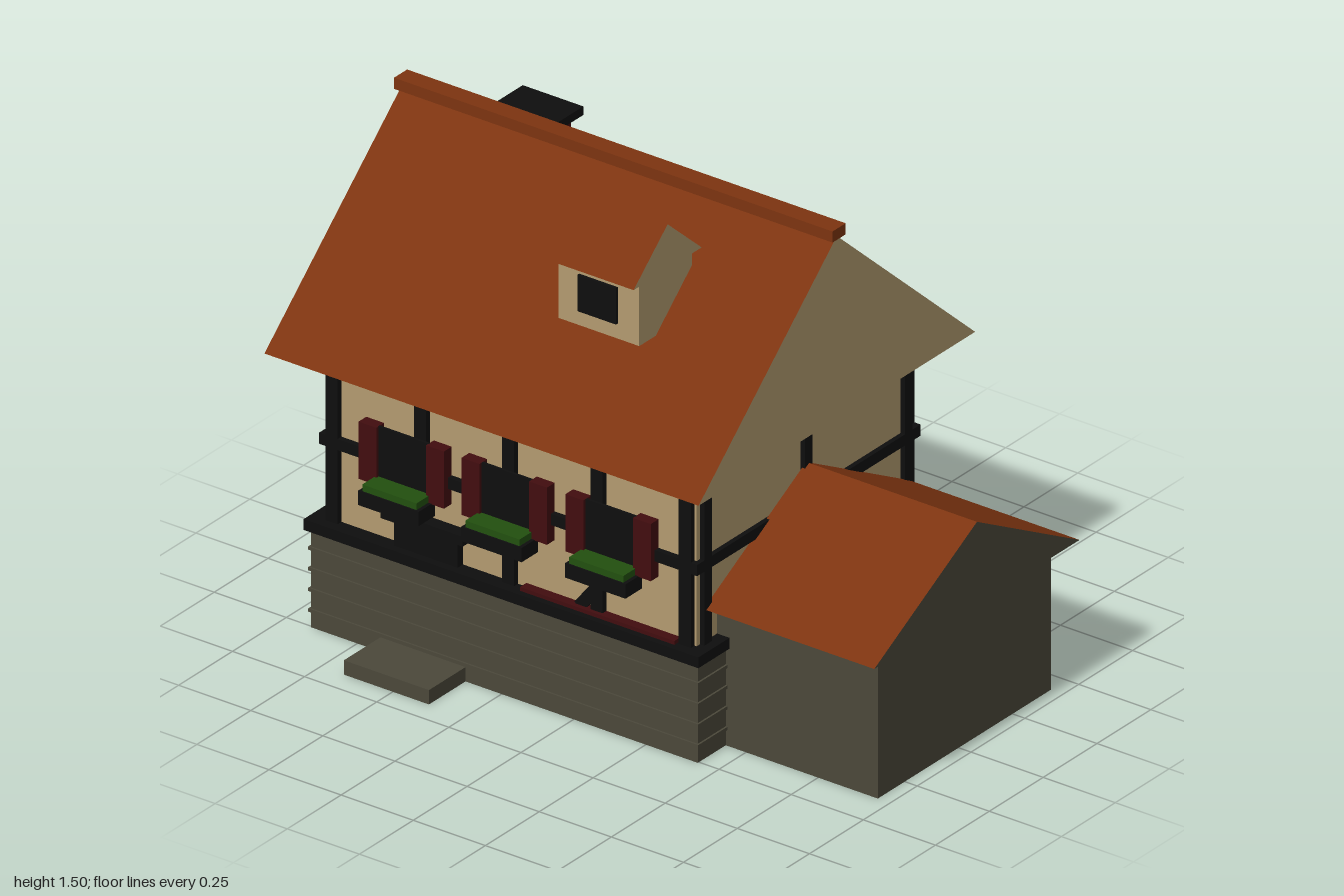
import * as THREE from 'three';

const mat = (name, color) => {
  const m = new THREE.MeshStandardMaterial({ color });
  m.name = name;
  return m;
};

export function createModel() {
  const plaster = mat('plaster', 0xb39b70);
  const tile = mat('roof tile', 0x7d3410);
  const stone = mat('stone', 0x4b483a);
  const timber = mat('dark timber', 0x0e0e0e);
  const red = mat('dark red', 0x420d0f);
  const green = mat('plant green', 0x22500f);

  const house = new THREE.Group();
  house.name = 'house';

  // Box given by its minimum and maximum on each axis
  const box = (name, material, [x0, x1], [y0, y1], [z0, z1], parent = house) => {
    const mesh = new THREE.Mesh(new THREE.BoxGeometry(x1 - x0, y1 - y0, z1 - z0), material);
    mesh.position.set((x0 + x1) / 2, (y0 + y1) / 2, (z0 + z1) / 2);
    mesh.name = name;
    parent.add(mesh);
    return mesh;
  };

  // Gabled prism, ridge along x: slopes in tile, gables and underside in the second material
  const gableRoof = (name, endMaterial, [x0, x1], [y0, y1], [z0, z1]) => {
    const zm = (z0 + z1) / 2;
    const A = [x0, y0, z1], B = [x1, y0, z1], C = [x1, y1, zm], D = [x0, y1, zm];
    const E = [x0, y0, z0], F = [x1, y0, z0];
    const corners = [
      A, B, C, A, C, D, F, E, D, F, D, C, // slopes
      B, F, C, E, A, D, E, F, B, E, B, A, // gables, underside
    ];
    const geo = new THREE.BufferGeometry();
    geo.setAttribute('position', new THREE.Float32BufferAttribute(corners.flat(), 3));
    geo.computeVertexNormals();
    geo.addGroup(0, 12, 0);
    geo.addGroup(12, 12, 1);
    const mesh = new THREE.Mesh(geo, [tile, endMaterial]);
    mesh.name = name;
    house.add(mesh);
  };

  // Stone base with projecting courses and a timber sill
  box('stoneBase', stone, [-0.91, 0.43], [0, 0.31], [-0.565, 0.505]);
  for (const y of [0.055, 0.12, 0.185, 0.25])
    box('stoneCourse', stone, [-0.916, 0.436], [y - 0.005, y + 0.005], [-0.571, 0.511]);
  box('sill', timber, [-0.925, 0.443], [0.308, 0.342], [-0.58, 0.52]);
  box('doorStep', stone, [-0.67, -0.375], [0, 0.045], [0.5, 0.675]);

  // Plaster walls
  box('plasterWalls', plaster, [-0.88, 0.40], [0.34, 0.86], [-0.53, 0.47]);

  // Timber frame on the front and back walls
  const midX = -0.24;
  for (const [z0, z1] of [[0.465, 0.488], [-0.55, -0.525]]) {
    for (let i = -2; i <= 2; i++) {
      const x = midX + i * 0.306;
      box('wallPost', timber, [x - 0.021, x + 0.021], [0.34, 0.86], [z0, z1]);
    }
    box('topBeam', timber, [-0.88, 0.40], [0.852, 0.882], [z0, z1]);
    box('middleBeam', timber, [-0.895, 0.415], [0.575, 0.61], [z0, z1]);
    for (const s of [-1, 1]) {
      const brace = box('brace', timber, [-0.15, 0.15], [-0.018, 0.018], [z0 + 0.002, z1 - 0.002]);
      brace.position.x = midX + s * 0.335;
      brace.position.y = 0.465;
      brace.rotation.z = s * 0.9;
    }
  }

  // Timber frame on the side walls
  for (const [x0, x1] of [[-0.895, -0.875], [0.395, 0.415]]) {
    for (const z of [0.437, -0.03, -0.494])
      box('sidePost', timber, [x0, x1], [0.34, 0.86], [z - 0.017, z + 0.017]);
    box('sideBeam', timber, [x0, x1], [0.575, 0.61], [-0.55, 0.488]);
  }

  // Front windows with shutters and planters
  for (const x of [-0.597, -0.24, 0.12]) {
    const win = new THREE.Group();
    win.name = 'window';
    win.position.x = x;
    house.add(win);
    box('windowPane', timber, [-0.088, 0.088], [0.52, 0.70], [0.488, 0.496], win);
    for (const s of [-1, 1])
      box('shutter', red, [s * 0.117 - 0.031, s * 0.117 + 0.031], [0.52, 0.70], [0.47, 0.506], win);
    box('planter', timber, [-0.105, 0.105], [0.477, 0.522], [0.49, 0.566], win);
    box('plants', green, [-0.094, 0.094], [0.52, 0.543], [0.495, 0.561], win);
  }

  // Door, its lintel and the low red board beside it
  box('door', timber, [-0.63, -0.41], [0.32, 0.417], [0.468, 0.495]);
  box('doorLintel', timber, [-0.665, -0.38], [0.425, 0.456], [0.468, 0.512]);
  box('lowBoard', red, [-0.19, 0.345], [0.335, 0.354], [0.468, 0.5]);

  // Main roof
  gableRoof('mainRoof', plaster, [-0.993, 0.512], [0.88, 1.455], [-0.673, 0.611]);
  box('ridgeCap', tile, [-1, 0.52], [1.45, 1.485], [-0.061, 0.0]);

  // Chimney
  box('chimney', red, [-0.705, -0.545], [1.2, 1.425], [-0.212, -0.06]);
  box('chimneyCap', timber, [-0.73, -0.52], [1.42, 1.447], [-0.236, -0.036]);

  // Dormer
  box('dormerWalls', plaster, [-0.15, 0.13], [1.16, 1.37], [0.13, 0.375]);
  box('dormerWindow', timber, [-0.078, 0.056], [1.208, 1.322], [0.375, 0.384]);
  gableRoof('dormerRoof', plaster, [-0.168, 0.15], [1.365, 1.505], [0.112, 0.428]);

  // Side annex
  box('annexWalls', stone, [0.40, 0.957], [0, 0.452], [-0.43, 0.375]);
  gableRoof('annexRoof', stone, [0.405, 0.997], [0.45, 0.71], [-0.508, 0.445]);

  return house;
}
